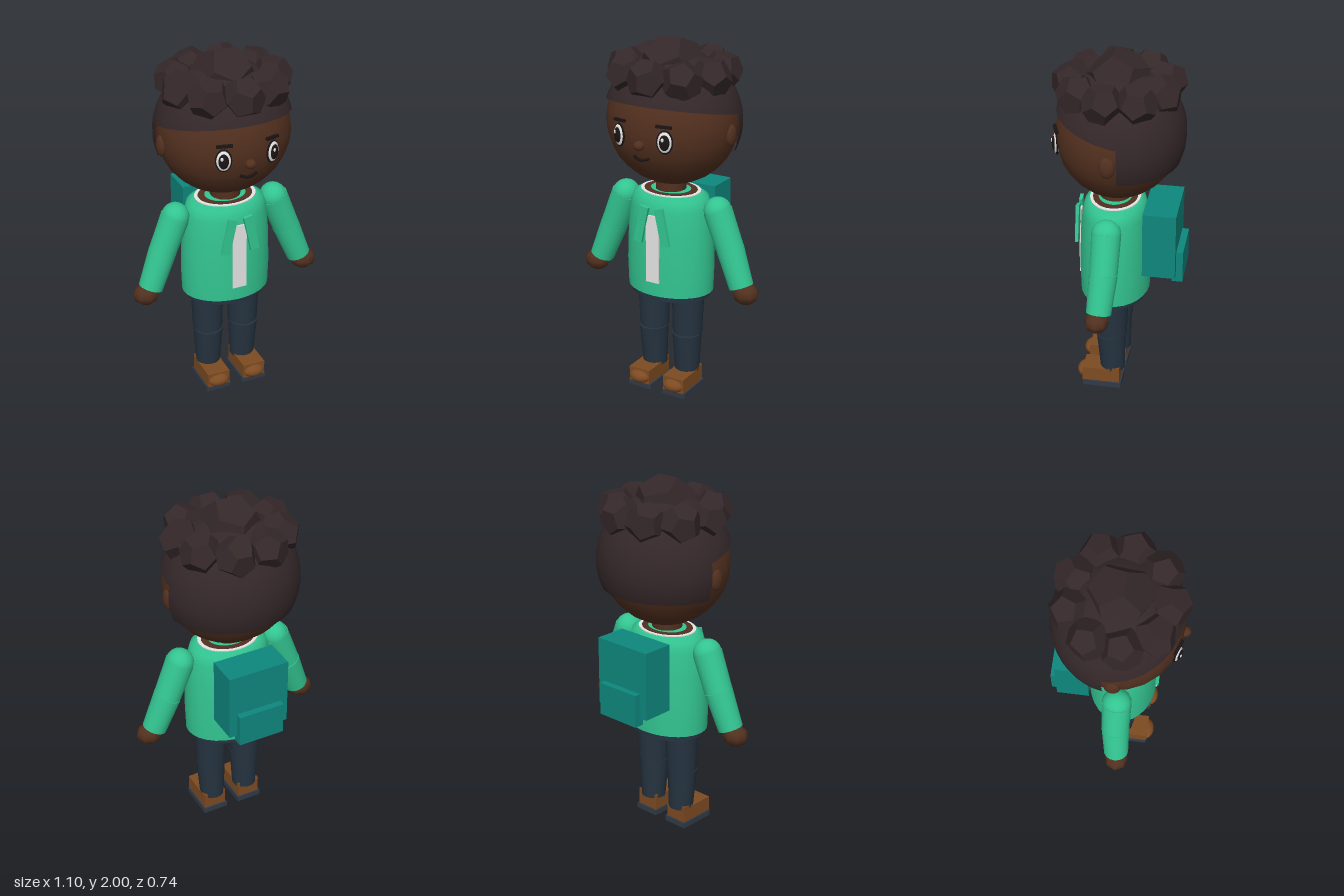
import * as THREE from 'three';

const mat = (name, color, side = THREE.FrontSide) => {
  const m = new THREE.MeshStandardMaterial({ color, side });
  m.name = name;
  return m;
};

export function createModel() {
  const root = new THREE.Group();
  root.name = 'childWithBackpack';
  const skin = mat('skin', 0x52301f);
  const hair = mat('hair', 0x342729, THREE.DoubleSide);
  const green = mat('jacketGreen', 0x33c591, THREE.DoubleSide);
  const teal = mat('backpackTeal', 0x0e877d);
  const navy = mat('trouserNavy', 0x253340, THREE.DoubleSide);
  const brown = mat('shoeBrown', 0x7d4b22);
  const sole = mat('soleSlate', 0x303a47);
  const white = mat('white', 0xe5e5e5);
  const dark = mat('eyeDark', 0x1b1414);

  const add = (name, geo, material, x = 0, y = 0, z = 0, parent = root) => {
    const m = new THREE.Mesh(geo, material);
    m.name = name;
    m.position.set(x, y, z);
    parent.add(m);
    return m;
  };
  const box = (w, h, d) => new THREE.BoxGeometry(w, h, d);
  const ball = (rx, ry, rz, ws = 20, hs = 14) => new THREE.SphereGeometry(1, ws, hs).scale(rx, ry, rz);
  // tapered limb from point a to point b
  const limb = (name, a, b, ra, rb, material) => {
    const p = new THREE.Vector3(...a), q = new THREE.Vector3(...b);
    const m = add(name, new THREE.CylinderGeometry(ra, rb, p.distanceTo(q), 16), material);
    m.position.copy(p).add(q).multiplyScalar(0.5);
    m.quaternion.setFromUnitVectors(new THREE.Vector3(0, 1, 0), p.sub(q).normalize());
    return m;
  };

  // head, neck, nose and mouth
  const HY = 1.55;
  add('head', ball(0.362, 0.35, 0.335, 24, 16), skin, 0, HY, 0);
  add('neck', new THREE.CylinderGeometry(0.083, 0.083, 0.12, 16), skin, 0, 1.185, 0.02);
  add('nose', ball(0.03, 0.026, 0.03, 10, 8), skin, 0, 1.487, 0.338);
  const smile = new THREE.QuadraticBezierCurve3(
    new THREE.Vector3(-0.047, 1.42, 0.311),
    new THREE.Vector3(0, 1.392, 0.328),
    new THREE.Vector3(0.047, 1.42, 0.311));
  add('mouth', new THREE.TubeGeometry(smile, 10, 0.008, 6), dark);

  // hair: tilted cap, back shell and a ring of faceted curls
  const cap = add('hairCap', new THREE.SphereGeometry(1, 24, 12, 0, Math.PI * 2, 0, 1.367)
    .scale(0.378, 0.367, 0.357), hair, 0, HY, 0);
  cap.rotation.x = -0.2;
  add('hairBack', new THREE.SphereGeometry(1, 20, 14, Math.PI + 0.13, Math.PI - 0.26, 0.3, 1.665)
    .scale(0.378, 0.367, 0.355), hair, 0, HY, 0);
  const crown = add('crownCurl', new THREE.DodecahedronGeometry(0.18), hair, 0, 1.832, 0);
  crown.rotation.x = 0.15;
  for (let i = 0; i < 9; i++) {
    const a = i * Math.PI * 2 / 9;
    const curl = add('curl', new THREE.DodecahedronGeometry(0.112), hair,
      0.26 * Math.sin(a), 1.815, 0.25 * Math.cos(a));
    curl.rotation.set(i * 0.5, i * 0.8, 0);
  }

  for (const s of [-1, 1]) {
    const side = s > 0 ? 'left' : 'right';

    // ear, eye and brow
    add(side + 'Ear', ball(0.025, 0.06, 0.043, 12, 10), skin, s * 0.355, 1.513, 0.005);
    const eye = new THREE.Group();
    eye.name = side + 'Eye';
    eye.position.set(s * 0.137, 1.52, 0.309);
    eye.rotation.y = s * 0.37;
    root.add(eye);
    add('eyeRim', ball(0.044, 0.064, 0.012), dark, 0, 0, 0, eye);
    add('eyeWhite', ball(0.04, 0.059, 0.018), white, 0, 0, 0, eye);
    add('pupil', ball(0.027, 0.042, 0.012), dark, 0, 0, 0.012, eye);
    add('eyeGlint', ball(0.008, 0.011, 0.004, 10, 8), white, -0.009, 0.017, 0.023, eye);
    const brow = add(side + 'Brow', box(0.085, 0.014, 0.02), dark, s * 0.132, 1.6, 0.31);
    brow.rotation.set(0, s * 0.37, -s * 0.07);

    // sleeve and hand
    const shoulder = [s * 0.29, 1.09, 0.02], elbow = [s * 0.37, 0.89, 0.022], wrist = [s * 0.448, 0.69, 0.035];
    add(side + 'Shoulder', ball(0.075, 0.075, 0.08, 16, 12), green, ...shoulder);
    limb(side + 'UpperSleeve', shoulder, elbow, 0.08, 0.076, green);
    limb(side + 'LowerSleeve', elbow, wrist, 0.077, 0.068, green);
    add(side + 'Hand', ball(0.074, 0.06, 0.066, 8, 6), skin, s * 0.478, 0.657, 0.04);

    // trouser leg
    limb(side + 'UpperLeg', [s * 0.11, 0.6, 0.02], [s * 0.108, 0.34, 0.022], 0.092, 0.083, navy);
    limb(side + 'LowerLeg', [s * 0.108, 0.337, 0.028], [s * 0.106, 0.1, 0.02], 0.083, 0.069, navy);

    // shoe
    const sx = s * 0.11;
    add(side + 'Sole', box(0.146, 0.032, 0.217), sole, sx, 0.016, 0.072);
    add(side + 'ShoeUpper', box(0.13, 0.085, 0.2), brown, sx, 0.0725, 0.085);
    add(side + 'ShoeHeel', box(0.13, 0.097, 0.06), brown, sx, 0.0785, 0.002);
    add(side + 'ShoeToe', ball(0.064, 0.038, 0.045, 14, 10), brown, sx, 0.068, 0.178);

    // hanging jacket lapel
    const lapel = add(side + 'Lapel', box(0.05, 0.21, 0.018), green, s * 0.065, 1.01, 0.219);
    lapel.rotation.z = s * 0.21;
  }

  // jacket body with a layered neckline
  const profile = [[0.248, 0.6], [0.253, 0.75], [0.246, 0.95], [0.232, 1.08], [0.215, 1.14], [0.178, 1.16], [0.08, 1.16]]
    .map(([r, y]) => new THREE.Vector2(r, y));
  add('jacket', new THREE.LatheGeometry(profile, 28).scale(1, 1, 0.77), green, 0, 0, 0.02);
  [['shirtCollar', 0.172, white, 1.161], ['neckBase', 0.152, skin, 1.163], ['jacketCollar', 0.115, green, 1.165]]
    .forEach(([name, r, m, y]) =>
      add(name, new THREE.CylinderGeometry(r, r, 0.008, 28).scale(1, 1, 0.8), m, 0, y, 0.02));

  // pale shirt panel, narrowing at the top
  const panel = new THREE.Shape([[-0.04, 0.68], [0.04, 0.68], [0.04, 1.0], [0.025, 1.065], [-0.025, 1.065], [-0.04, 1.0]]
    .map(([x, y]) => new THREE.Vector2(x, y)));
  add('shirtPanel', new THREE.ExtrudeGeometry(panel, { depth: 0.009, bevelEnabled: false }), white, 0, 0, 0.208);

  // waistband and hips
  add('waistband', new THREE.CylinderGeometry(0.228, 0.228, 0.04, 28, 1, true).scale(1, 1, 0.77), navy, 0, 0.587, 0.02);
  add('hips', new THREE.CylinderGeometry(0.224, 0.224, 0.02, 28).scale(1, 1, 0.77), skin, 0, 0.597, 0.02);

  // backpack
  add('backpack', box(0.35, 0.38, 0.18), teal, 0, 0.963, -0.243);
  add('backpackPocket', box(0.264, 0.183, 0.058), teal, 0, 0.823, -0.341);

  return root;
}
